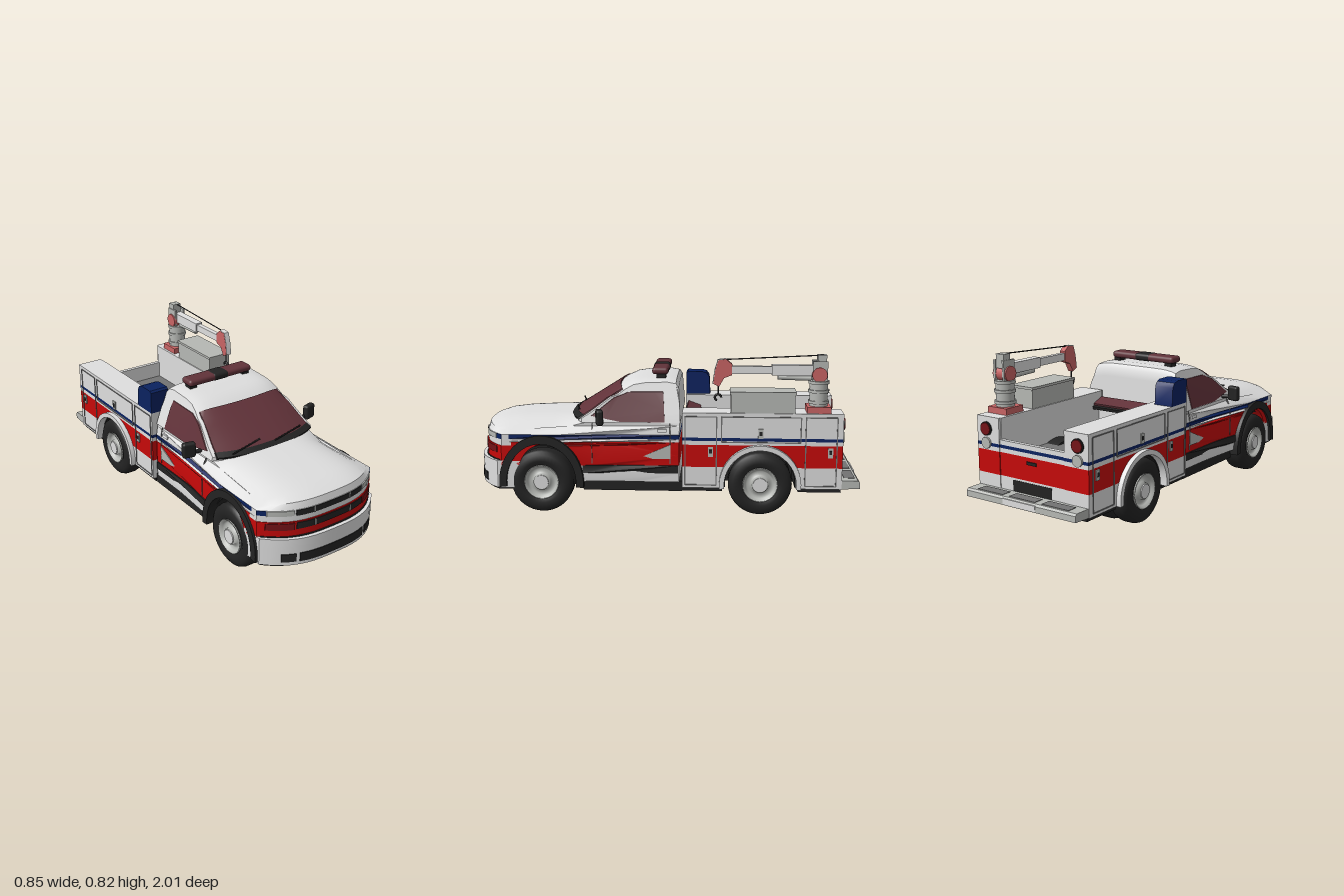
import * as THREE from 'three';
import { toCreasedNormals } from 'three/addons/utils/BufferGeometryUtils.js';
import { RoundedBoxGeometry } from 'three/addons/geometries/RoundedBoxGeometry.js';

const paint = (name, color, side = THREE.FrontSide) => Object.assign(new THREE.MeshStandardMaterial({ color, side }), { name });
const M = {
  white: paint('white', 0xdedede), red: paint('red', 0xc60909), blue: paint('blue', 0x0b2260),
  black: paint('black', 0x232323), glass: paint('tinted glass', 0x613239), grey: paint('floor grey', 0x737373),
  metal: paint('metal', 0xb6b8b4, THREE.DoubleSide), pink: paint('crane red', 0xc86464), lens: paint('red lens', 0x741317),
};
const clamp = (v) => Math.min(1, Math.max(0, v));

export function createModel() {
  const truck = new THREE.Group();
  truck.name = 'serviceTruck';
  const add = (name, geo, mat, x = 0, y = 0, z = 0) => {
    const m = new THREE.Mesh(geo, mat);
    m.name = name;
    m.position.set(x, y, z);
    truck.add(m);
    return m;
  };
  // box from its limits
  const box = (name, mat, x0, x1, y0, y1, z0, z1) => add(name,
    new THREE.BoxGeometry(x1 - x0, y1 - y0, z1 - z0), mat, (x0 + x1) / 2, (y0 + y1) / 2, (z0 + z1) / 2);
  const rod = (name, mat, a, b, r) => {
    const A = new THREE.Vector3(...a), B = new THREE.Vector3(...b), d = B.clone().sub(A);
    const m = add(name, new THREE.CylinderGeometry(r, r, d.length(), 20), mat);
    m.position.copy(A).add(B).multiplyScalar(0.5);
    m.quaternion.setFromUnitVectors(new THREE.Vector3(0, 1, 0), d.normalize());
  };
  // side profile [z, y] extruded from x0 to x1, then bent by a rule
  const side = (name, mat, pts, x0, x1, rule = null) => {
    const fine = [];
    pts.forEach(([z, y], i) => {
      const [z2, y2] = pts[(i + 1) % pts.length];
      const n = rule ? Math.max(1, Math.ceil(Math.hypot(z2 - z, y2 - y) / 0.06)) : 1;
      for (let k = 0; k < n; k++) fine.push(new THREE.Vector2(-(z + (z2 - z) * k / n), y + (y2 - y) * k / n));
    });
    const g = new THREE.ExtrudeGeometry(new THREE.Shape(fine), {
      depth: x1 - x0, steps: rule ? Math.ceil((x1 - x0) * 9) : 1, bevelEnabled: false });
    g.rotateY(Math.PI / 2).translate(x0, 0, 0);
    if (rule) {
      const p = g.attributes.position;
      for (let i = 0; i < p.count; i++) p.setXYZ(i, ...rule(p.getX(i), p.getY(i), p.getZ(i)));
    }
    return add(name, toCreasedNormals(g, 0.6), mat);
  };
  const rect = (z0, z1, y0, y1) => [[z0, y0], [z1, y0], [z1, y1], [z0, y1]];

  // lower cab: rounded nose, falling hood edges
  const body = (x, y, z) => {
    const a = Math.abs(x), t = Math.max(0, y - 0.41), f = clamp((z - 0.3) / 0.25);
    const w = 0.322 + 0.03 * clamp((z - 0.25) / 0.3) - t * (0.18 + 0.5 * f);
    return [x * w, y - t * f * 0.7 * a ** 4, z - 0.13 * clamp((z - 0.45) / 0.53) ** 2 * a ** 3];
  };
  // upper cab: leaning sides, curved windscreen
  const house = (x, y, z) => {
    const a = Math.abs(x);
    return [x * (0.31 - 0.32 * (y - 0.49)), y - (y > 0.6 ? 0.015 * a ** 6 : 0), z - 0.065 * a ** 2.5 * clamp((z - 0.1) / 0.35)];
  };
  // horizontal band of a side profile, cut by a wheel arch
  const band = (y0, y1, zf, zr, zc, R) => {
    const top = 0.16 + R, arc = (s, ya, yb) => Array.from({ length: 7 }, (_, i) => {
      const y = ya + (yb - ya) * i / 6;
      return [zc + s * Math.sqrt(Math.max(0, R * R - (y - 0.16) ** 2)), y];
    });
    if (y0 >= top) return [rect(zr, zf, y0, y1)];
    if (y1 <= top) return [[[zf, y0], [zf, y1], ...arc(1, y1, y0)], [[zr, y0], [zr, y1], ...arc(-1, y1, y0)]];
    const t0 = Math.asin((y0 - 0.16) / R), notch = Array.from({ length: 15 }, (_, i) => {
      const t = t0 + (Math.PI - 2 * t0) * i / 14;
      return [zc - R * Math.cos(t), 0.16 + R * Math.sin(t)];
    });
    return [[[zf, y0], [zf, y1], [zr, y1], [zr, y0], ...notch]];
  };
  const ring = (zc, r0, r1, k) => {
    const arc = (r, flip) => Array.from({ length: 25 }, (_, i) => {
      const t = -0.1 + (Math.PI + 0.2) * (flip ? 24 - i : i) / 24;
      return [zc + r * Math.cos(t), 0.16 + k * r * Math.sin(t)];
    });
    return [...arc(r1, false), ...arc(r0, true)];
  };

  // cab body in coloured bands
  const AZ = 0.642, AR = 0.2;
  const cabBand = (name, mat, y0, y1, zf) => band(y0, y1, zf, -0.065, AZ, AR).forEach((p) => side(name, mat, p, -1, 1, body));
  side('frontBumper', M.white, band(0.13, 0.272, 1.0, 0.4, AZ, AR)[0], -1, 1, body);
  side('sill', M.white, band(0.165, 0.25, 0.97, -0.065, AZ, AR)[1], -1, 1, body);
  cabBand('redBand', M.red, 0.25, 0.352, 0.975);
  cabBand('redBandTop', M.red, 0.352, 0.372, 0.88);
  side('noseBandLow', M.white, rect(0.88, 0.968, 0.352, 0.372), -1, 1, body);
  cabBand('waistBand', M.white, 0.372, 0.387, 0.968);
  side('noseBand', M.white, rect(0.9, 0.967, 0.387, 0.41), -1, 1, body);
  cabBand('blueStripe', M.blue, 0.387, 0.41, 0.9);
  side('hood', M.white, [[0.965, 0.41], [0.955, 0.445], [0.9, 0.464], [0.8, 0.478], [0.65, 0.487], [0.49, 0.492],
    [0.3, 0.5], [-0.065, 0.5], [-0.065, 0.41]], -1, 1, body);
  side('cabRoof', M.white, [[0.5, 0.47], [0.5, 0.49], [0.24, 0.65], [0.19, 0.672], [0.12, 0.682], [0, 0.686],
    [-0.045, 0.678], [-0.06, 0.655], [-0.07, 0.47]], -1, 1, house);
  side('windscreen', M.glass, [[0.493, 0.501], [0.256, 0.648], [0.25, 0.637], [0.487, 0.491]], -0.94, 0.94, house);
  side('cowl', M.black, [[0.515, 0.49], [0.486, 0.508], [0.48, 0.5], [0.51, 0.48]], -0.95, 0.95, house);
  side('frontLiner', M.black, ring(AZ, 0.184, 0.201, 1), -0.315, 0.315);
  side('bumperUnderside', M.black, rect(0.845, 0.985, 0.12, 0.131), -0.97, 0.97, body);
  for (const s of [-1, 1]) {
    const plate = (name, mat, pts, rule, d = 0.014) => side(name, mat, pts, s > 0 ? 0.99 : -1 - d, s > 0 ? 1 + d : -0.99, rule);
    plate('sideWindow', M.glass, [[0.452, 0.503], [0.265, 0.622], [0.22, 0.637], [0.02, 0.64], [0.01, 0.475], [0.27, 0.475]], house);
    plate('rubStrip', M.black, rect(-0.06, 0.43, 0.21, 0.25), body, 0.02);
    plate('greyFlash', M.metal, [[0.15, 0.285], [-0.02, 0.285], [-0.02, 0.36]], body);
    plate('doorSeamRear', M.grey, rect(-0.02, -0.016, 0.26, 0.48), body, 0.01);
    plate('doorSeamFront', M.grey, rect(0.38, 0.384, 0.26, 0.48), body, 0.01);
    plate('doorHandle', M.white, rect(0, 0.045, 0.425, 0.44), body, 0.025);
    side('frontFlare', M.black, ring(AZ, 0.18, 0.218, 1.13), s > 0 ? 0.315 : -0.365, s > 0 ? 0.365 : -0.315);
    // mirrors
    add('mirror', new RoundedBoxGeometry(0.068, 0.08, 0.035, 2, 0.012), M.black, s * 0.382, 0.51, 0.335).rotation.y = s * 0.25;
    rod('mirrorArm', M.black, [s * 0.3, 0.485, 0.335], [s * 0.37, 0.49, 0.335], 0.01);
  }

  // nose details, following the rounded front
  const nose = (name, mat, x0, x1, y0, y1, z) => side(name, mat, rect(z - 0.006, z + 0.004, y0, y1), x0 / 0.352, x1 / 0.352, body);
  nose('lowerIntake', M.black, -0.195, 0.195, 0.148, 0.194, 1.0);
  nose('upperGrille', M.black, -0.2, 0.2, 0.38, 0.409, 0.967);
  nose('lowerGrille', M.black, -0.2, 0.2, 0.313, 0.347, 0.975);
  nose('bumperTrim', M.black, -0.34, 0.34, 0.272, 0.277, 0.977);
  for (const s of [-1, 1]) {
    const pair = (name, mat, a, b, ...r) => nose(name, mat, s > 0 ? a : -b, s > 0 ? b : -a, ...r);
    pair('fogLight', M.black, 0.212, 0.275, 0.15, 0.192, 1.0);
    pair('headlight', M.metal, 0.21, 0.318, 0.382, 0.409, 0.968);
    pair('blueWrap', M.blue, 0.322, 0.352, 0.385, 0.41, 0.968);
    pair('turnSignal', M.lens, 0.21, 0.325, 0.31, 0.345, 0.976);
    pair('grilleBar', M.metal, 0.105, 0.11, 0.313, 0.347, 0.978);
    pair('grilleBarTop', M.metal, 0.105, 0.11, 0.38, 0.409, 0.97);
    rod('wiper', M.black, [s * 0.13 - 0.1, 0.51, 0.495], [s * 0.13 + 0.09, 0.521, 0.458], 0.004);
    box('lightBarFoot', M.black, s * 0.165 - 0.02, s * 0.165 + 0.02, 0.675, 0.702, 0.01, 0.06);
  }

  // light bar
  add('lightBar', new RoundedBoxGeometry(0.39, 0.036, 0.085, 3, 0.016), M.glass, -0.006, 0.718, 0.04);
  add('lightBarCentre', new RoundedBoxGeometry(0.1, 0.039, 0.088, 3, 0.016), M.black, -0.006, 0.718, 0.04);

  // service bed: side lockers in bands with wheel arches
  const BZ = -0.478, BR = 0.19;
  const bands = [[M.white, 0.14, 0.25], [M.red, 0.25, 0.365], [M.white, 0.365, 0.386], [M.blue, 0.386, 0.402], [M.white, 0.402, 0.53]];
  for (const s of [-1, 1]) {
    const lim = (a, b) => (s > 0 ? [a, b] : [-b, -a]);
    for (const [mat, y0, y1] of bands) band(y0, y1, -0.08, -0.892, BZ, BR).forEach((p) => side('sideLocker', mat, p, ...lim(0.2, 0.34)));
    side('rearLiner', M.black, ring(BZ, 0.178, 0.191, 1), ...lim(0.12, 0.325));
    side('rearFlare', M.white, ring(BZ, 0.183, 0.208, 1), ...lim(0.325, 0.365));
    box('bedInnerWall', M.white, ...lim(0.194, 0.201), 0.33, 0.53, -0.88, -0.09);
    // locker door outlines and latches
    for (const [za, zb, y0, zl] of [[-0.255, -0.095, 0.155, -0.225], [-0.68, -0.28, 0.38, BZ], [-0.862, -0.705, 0.155, -0.83]]) {
      for (const z of [za, zb]) box('doorGap', M.grey, ...lim(0.338, 0.343), y0, 0.51, z - 0.003, z + 0.003);
      for (const y of [y0, 0.51]) box('doorGap', M.grey, ...lim(0.338, 0.343), y - 0.003, y + 0.003, za, zb);
      const yl = y0 < 0.3 ? 0.33 : 0.425;
      box('latch', M.metal, ...lim(0.338, 0.346), yl - 0.025, yl + 0.025, zl - 0.013, zl + 0.013);
      box('latchGrip', M.black, ...lim(0.338, 0.348), yl - 0.008, yl + 0.012, zl - 0.007, zl + 0.007);
    }
    // tail lamps
    rod('tailLamp', M.lens, [s * 0.28, 0.47, -0.89], [s * 0.28, 0.47, -0.904], 0.03);
    rod('tailLampRim', M.black, [s * 0.28, 0.47, -0.89], [s * 0.28, 0.47, -0.899], 0.035);
    rod('reverseLamp', M.metal, [s * 0.28, 0.4, -0.89], [s * 0.28, 0.4, -0.902], 0.028);
  }
  for (const [mat, y0, y1] of bands) box('tailgate', mat, -0.2, 0.2, y0, Math.min(y1, 0.425), -0.888, -0.87);
  box('tailgateInner', M.white, -0.2, 0.2, 0.33, 0.425, -0.87, -0.865);
  box('tailgateHandle', M.black, -0.03, 0.03, 0.33, 0.345, -0.893, -0.888);
  box('bedFloor', M.grey, -0.2, 0.2, 0.3, 0.335, -0.87, -0.09);
  box('bulkhead', M.white, -0.2, 0.2, 0.14, 0.47, -0.12, -0.085);
  box('rearLightPanel', M.glass, -0.2, 0.2, 0.47, 0.485, -0.165, -0.09).rotation.x = -0.35;
  box('rearLightFrame', M.black, -0.2, 0.2, 0.455, 0.472, -0.175, -0.085).rotation.x = -0.35;

  // rear step bumper
  side('rearBumper', M.metal, [[-0.89, 0.14], [-0.89, 0.185], [-0.975, 0.185], [-0.985, 0.175], [-0.985, 0.145]], -0.335, 0.335);
  for (const x of [-0.2, 0, 0.2]) box('bumperTread', M.grey, x - 0.08, x + 0.08, 0.184, 0.187, -0.965, -0.91);
  box('plateRecess', M.white, -0.1, 0.1, 0.15, 0.178, -0.988, -0.98);

  // cargo on the lockers
  side('blueTank', M.blue, [[-0.08, 0.53], [-0.08, 0.645], [-0.09, 0.655], [-0.17, 0.655], [-0.195, 0.647], [-0.21, 0.625], [-0.215, 0.53]], -0.34, -0.235);
  box('toolBox', M.metal, 0.2, 0.335, 0.53, 0.625, -0.648, -0.325);
  box('toolBoxLid', M.metal, 0.195, 0.34, 0.625, 0.638, -0.653, -0.32);

  // crane
  const X = 0.268, CZ = -0.768;
  box('craneBase', M.pink, X - 0.06, X + 0.06, 0.53, 0.562, CZ - 0.06, CZ + 0.06);
  rod('craneColumn', M.metal, [X, 0.56, CZ], [X, 0.685, CZ], 0.046);
  for (const y of [0.575, 0.63, 0.675]) rod('craneCollar', M.metal, [X, y, CZ], [X, y + 0.015, CZ], 0.053);
  for (const s of [-1, 1]) box('craneMast', M.metal, X + s * 0.028 - 0.006, X + s * 0.028 + 0.006, 0.685, 0.79, CZ - 0.04, CZ + 0.035);
  rod('cranePivot', M.pink, [X - 0.042, 0.722, CZ], [X + 0.042, 0.722, CZ], 0.038);
  box('craneWinch', M.metal, X - 0.03, X + 0.02, 0.75, 0.82, CZ - 0.035, CZ + 0.01);
  box('craneBoom', M.white, X - 0.022, X + 0.022, 0.715, 0.768, CZ, -0.53);
  box('craneBoomInner', M.white, X - 0.014, X + 0.014, 0.722, 0.76, -0.54, -0.31);
  rod('craneRam', M.metal, [X, 0.7, CZ + 0.04], [X, 0.705, -0.56], 0.013);
  side('craneTip', M.pink, [[-0.33, 0.77], [-0.3, 0.795], [-0.26, 0.79], [-0.245, 0.74], [-0.235, 0.67], [-0.265, 0.655], [-0.29, 0.7], [-0.33, 0.715]], X - 0.016, X + 0.016);
  side('craneTipFace', M.white, [[-0.3, 0.798], [-0.257, 0.793], [-0.241, 0.74], [-0.231, 0.67], [-0.237, 0.67], [-0.247, 0.74], [-0.263, 0.789], [-0.3, 0.794]], X - 0.015, X + 0.015);
  rod('craneCable', M.black, [X, 0.818, CZ - 0.02], [X, 0.792, -0.28], 0.003);
  rod('hookCable', M.black, [X, 0.67, -0.26], [X, 0.615, -0.26], 0.004);
  add('hook', new THREE.TorusGeometry(0.016, 0.006, 8, 16, 4.4), M.black, X, 0.598, -0.26).rotation.y = Math.PI / 2;

  // wheels: dual at the rear
  const wheel = (s, xi, xo, z) => {
    const h = (xo - xi) / 2, v = (l) => l.map(([r, y]) => new THREE.Vector2(r, y));
    const place = (name, geo, mat) => { add(name, geo, mat, s * (xi + xo) / 2, 0.163, z).rotation.z = -s * Math.PI / 2; };
    place('tyre', new THREE.LatheGeometry(v([[0.082, -h + 0.012], [0.11, -h], [0.14, -h + 0.004], [0.157, -h + 0.016], [0.163, -h + 0.034],
      [0.163, h - 0.034], [0.157, h - 0.016], [0.14, h - 0.004], [0.11, h], [0.082, h - 0.012]]), 40), M.black);
    place('rim', new THREE.LatheGeometry(v([[0.086, -h + 0.01], [0.078, 0], [0.078, h - 0.03], [0.09, h - 0.003], [0.086, h],
      [0.074, h - 0.016], [0.066, h - 0.028], [0.045, h - 0.022], [0.042, h - 0.004], [0, h - 0.004]]), 32), M.metal);
    rod('hubCap', M.white, [s * (xo - 0.008), 0.163, z], [s * (xo + 0.002), 0.163, z], 0.036);
  };
  for (const s of [-1, 1]) {
    wheel(s, 0.228, 0.36, AZ);
    wheel(s, 0.125, 0.24, BZ);
    wheel(s, 0.248, 0.36, BZ);
  }

  // underside
  box('engineTray', M.black, -0.2, 0.2, 0.11, 0.36, 0.36, 0.9);
  box('cabFloor', M.black, -0.318, 0.318, 0.115, 0.168, -0.08, 0.43);
  box('bedUnderside', M.black, -0.12, 0.12, 0.12, 0.24, -0.89, -0.08);
  box('bedFrontPan', M.black, -0.325, 0.325, 0.12, 0.141, -0.285, -0.08);
  box('bedRearPan', M.black, -0.325, 0.325, 0.12, 0.141, -0.89, -0.672);
  for (const z of [AZ, BZ]) rod('axle', M.black, [-0.3, 0.163, z], [0.3, 0.163, z], 0.025);
  add('differential', new THREE.SphereGeometry(0.06, 20, 12), M.black, 0, 0.15, BZ);
  rod('driveShaft', M.black, [0, 0.115, 0.35], [0, 0.14, BZ], 0.018);

  truck.rotation.y = 0.072;
  truck.position.x = -0.01;
  const root = new THREE.Group();
  root.name = 'model';
  root.add(truck);
  return root;
}
